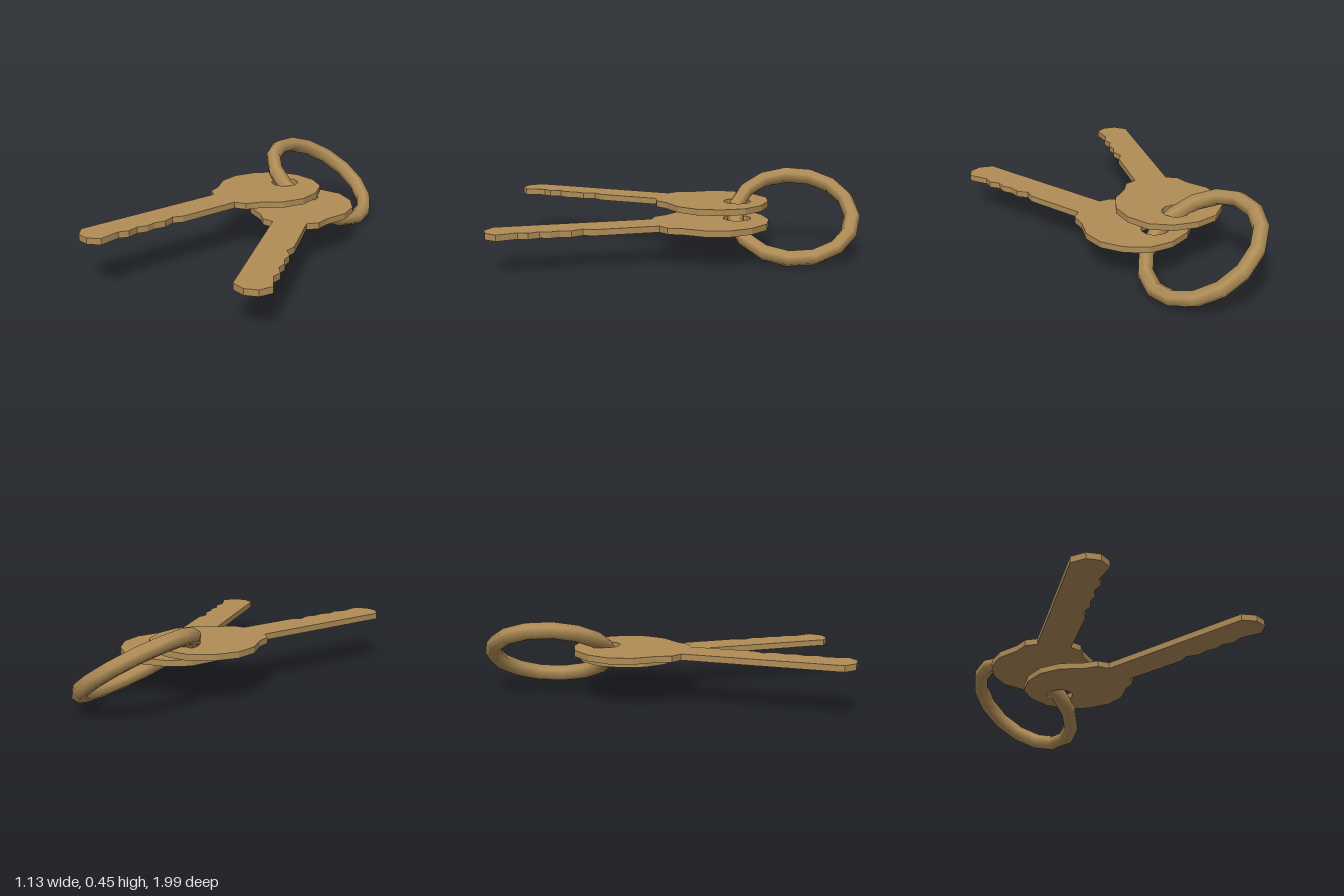
import * as THREE from 'three';

const DEG = Math.PI / 180;

// Flat key with its blade along +z, head centred on the origin, top face at y = 0
function keyGeometry() {
  // One half of the rounded head, from blade shoulder to back: [across, along]
  const head = [
    [0.093, 0.337], [0.155, 0.307], [0.186, 0.233], [0.268, 0.129],
    [0.297, 0.008], [0.267, -0.12], [0.187, -0.232], [0.067, -0.284],
  ];
  // Notched edge and rounded tip of the blade
  const blade = [
    [-0.093, 1.192], [-0.031, 1.243], [0.042, 1.243], [0.096, 1.192],
    [0.072, 1.078], [0.094, 1.027], [0.074, 0.966], [0.092, 0.915],
    [0.08, 0.862], [0.094, 0.804], [0.068, 0.741], [0.094, 0.688],
  ];
  const mirrored = head.map(([x, y]) => [-x, y]).reverse();
  const outline = [...blade, ...head, ...mirrored].map(([x, y]) => new THREE.Vector2(x, y));
  const shape = new THREE.Shape(outline);

  // Hole for the ring
  const hole = [];
  for (let i = 0; i < 12; i++) {
    const a = (i / 12) * Math.PI * 2;
    hole.push(new THREE.Vector2(Math.cos(a) * 0.077, -0.122 + Math.sin(a) * 0.077));
  }
  shape.holes.push(new THREE.Path(hole));

  const geo = new THREE.ExtrudeGeometry(shape, { depth: 0.034, bevelEnabled: false });
  return geo.rotateX(Math.PI / 2);
}

export function createModel() {
  const group = new THREE.Group();
  const brass = new THREE.MeshStandardMaterial({ color: 0xb08d57 });
  brass.name = 'brass';

  // Two identical keys fanned apart, one above the other
  const geo = keyGeometry();
  for (const [name, side, top] of [['upperKey', -1, 0.285], ['lowerKey', 1, 0.217]]) {
    const key = new THREE.Mesh(geo, brass);
    key.name = name;
    key.position.set(side * 0.106, top, -0.203);
    key.rotation.y = side * 18 * DEG;
    group.add(key);
  }

  // Tilted ring passing through both holes
  const ringGeo = new THREE.TorusGeometry(0.325, 0.045, 6, 15);
  ringGeo.rotateZ(Math.PI / 2).rotateX(-Math.PI / 2).rotateZ(-34.3 * DEG);
  const ring = new THREE.Mesh(ringGeo, brass);
  ring.name = 'keyRing';
  ring.position.set(0, 0.224, -0.63);
  group.add(ring);

  return group;
}
